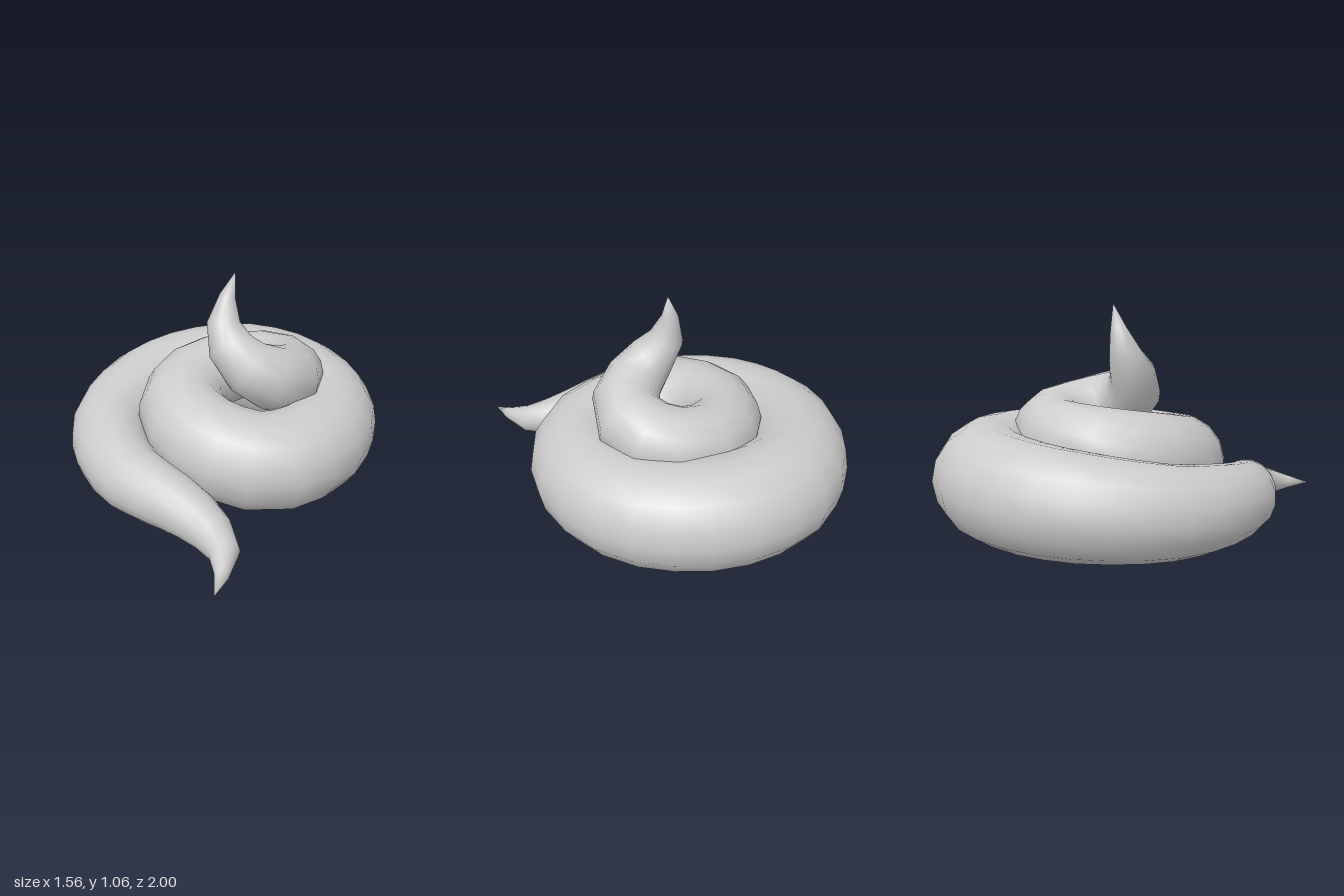
import * as THREE from 'three';
import { mergeVertices } from 'three/addons/utils/BufferGeometryUtils.js';

// Spine of the coil from the tail tip to the top tip: x, y, z, radius
const SPINE = [
  [-0.03, 0.07, 1.0, 0],
  [0.01, 0.095, 0.76, 0.068],
  [-0.08, 0.125, 0.59, 0.11],
  [-0.25, 0.16, 0.44, 0.142],
  [-0.42, 0.175, 0.3, 0.165],
  [-0.54, 0.19, 0.09, 0.188],
  [-0.58, 0.208, -0.18, 0.208],
  [-0.44, 0.238, -0.51, 0.235],
  [-0.2, 0.255, -0.7, 0.25],
  [0.1, 0.265, -0.745, 0.257],
  [0.39, 0.265, -0.57, 0.255],
  [0.53, 0.25, -0.23, 0.248],
  [0.44, 0.245, 0.08, 0.242],
  [0.19, 0.245, 0.245, 0.24],
  [-0.07, 0.285, 0.155, 0.235],
  [-0.21, 0.35, -0.05, 0.22],
  [-0.15, 0.405, -0.29, 0.2],
  [0.07, 0.44, -0.42, 0.18],
  [0.26, 0.465, -0.36, 0.175],
  [0.325, 0.49, -0.2, 0.175],
  [0.28, 0.535, -0.05, 0.168],
  [0.18, 0.585, 0.005, 0.153],
  [0.07, 0.66, -0.005, 0.13],
  [-0.002, 0.78, -0.08, 0.095],
  [0.003, 0.9, -0.115, 0.054],
  [0.05, 1.06, -0.13, 0],
];

// Radius along the spine, interpolated between its points
function radiusAt(t) {
  const f = t * (SPINE.length - 1);
  const i = Math.min(Math.floor(f), SPINE.length - 2);
  return THREE.MathUtils.lerp(SPINE[i][3], SPINE[i + 1][3], f - i);
}

// Tube of unit radius, shrunk ring by ring to the tapering radius
function taperedTube(curve, rings, sides) {
  const geometry = new THREE.TubeGeometry(curve, rings, 1, sides, false);
  const pos = geometry.attributes.position;
  const v = new THREE.Vector3();
  for (let i = 0; i <= rings; i++) {
    const center = curve.getPointAt(i / rings);
    const radius = radiusAt(curve.getUtoTmapping(i / rings));
    for (let j = 0; j <= sides; j++) {
      const k = i * (sides + 1) + j;
      v.fromBufferAttribute(pos, k).sub(center).multiplyScalar(radius).add(center);
      pos.setXYZ(k, v.x, Math.max(v.y, 0), v.z);
    }
  }
  // Weld the seam and tips so the shading is continuous
  geometry.deleteAttribute('uv');
  geometry.deleteAttribute('normal');
  const welded = mergeVertices(geometry, 1e-4);
  welded.computeVertexNormals();
  return welded;
}

export function createModel() {
  const group = new THREE.Group();
  group.name = 'coiledSwirl';
  const curve = new THREE.CatmullRomCurve3(
    SPINE.map(([x, y, z]) => new THREE.Vector3(x, y, z)));
  curve.arcLengthDivisions = 600;
  const coil = new THREE.Mesh(
    taperedTube(curve, 48, 16),
    new THREE.MeshStandardMaterial({ color: 0xcccccc }));
  coil.name = 'coil';
  group.add(coil);
  return group;
}
